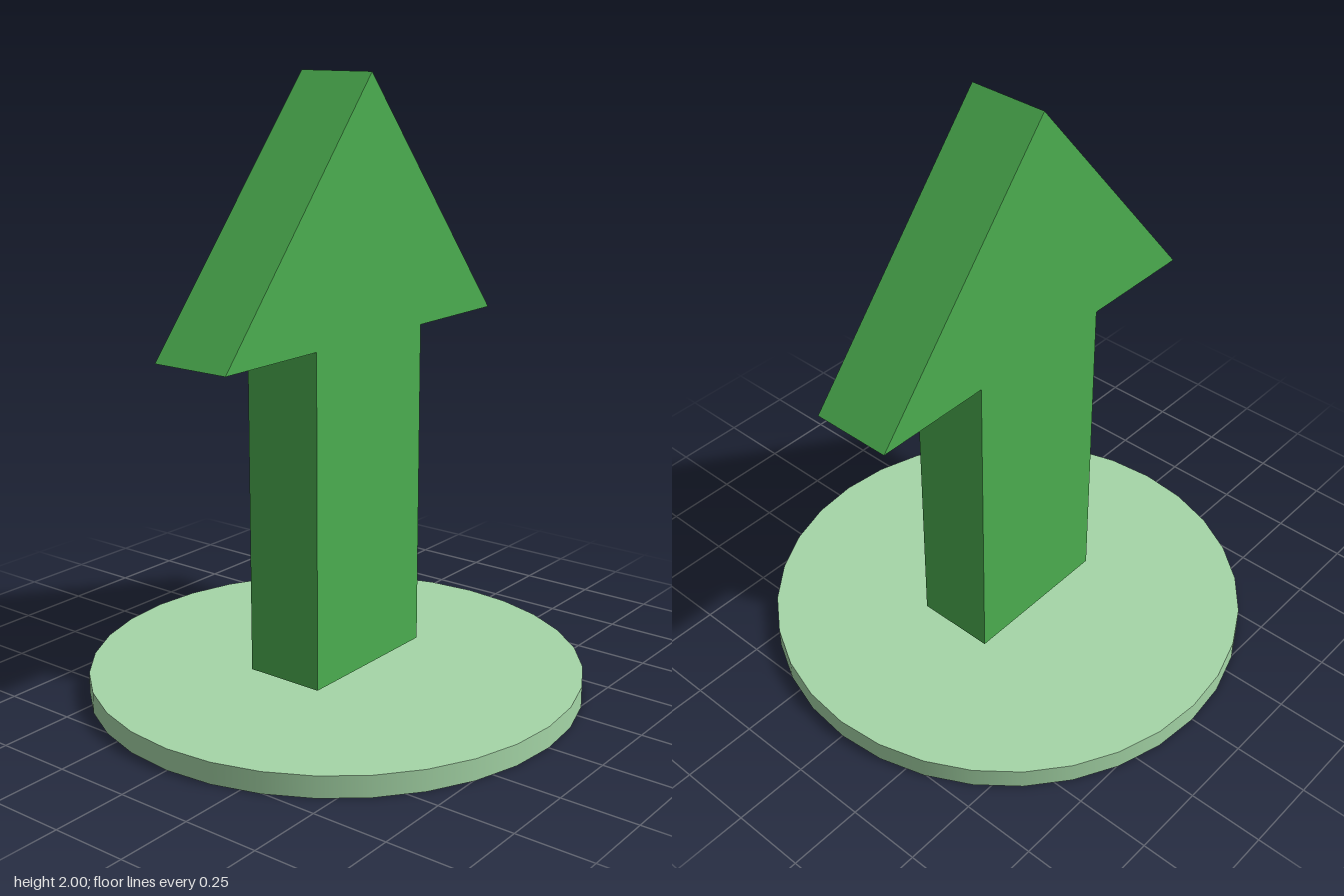
import * as THREE from 'three';

export function createModel() {
  const model = new THREE.Group();

  // Thin round base
  const baseHeight = 0.07;
  const base = new THREE.Mesh(
    new THREE.CylinderGeometry(0.816, 0.816, baseHeight, 32),
    new THREE.MeshStandardMaterial({ color: 0xa5d6a7 })
  );
  base.name = 'base';
  base.position.y = baseHeight / 2;
  model.add(base);

  // Upward arrow, floating just above the base
  const depth = 0.272, shaft = 0.272, head = 0.68;
  const bottom = 0.095, shoulder = 1.185, tip = 2;
  const outline = new THREE.Shape([
    [-shaft, bottom], [shaft, bottom], [shaft, shoulder], [head, shoulder],
    [0, tip], [-head, shoulder], [-shaft, shoulder],
  ].map(([x, y]) => new THREE.Vector2(x, y)));
  const arrow = new THREE.Mesh(
    new THREE.ExtrudeGeometry(outline, { depth, bevelEnabled: false }),
    new THREE.MeshStandardMaterial({ color: 0x4caf50 })
  );
  arrow.name = 'arrow';
  arrow.position.z = -depth / 2;
  model.add(arrow);

  return model;
}
